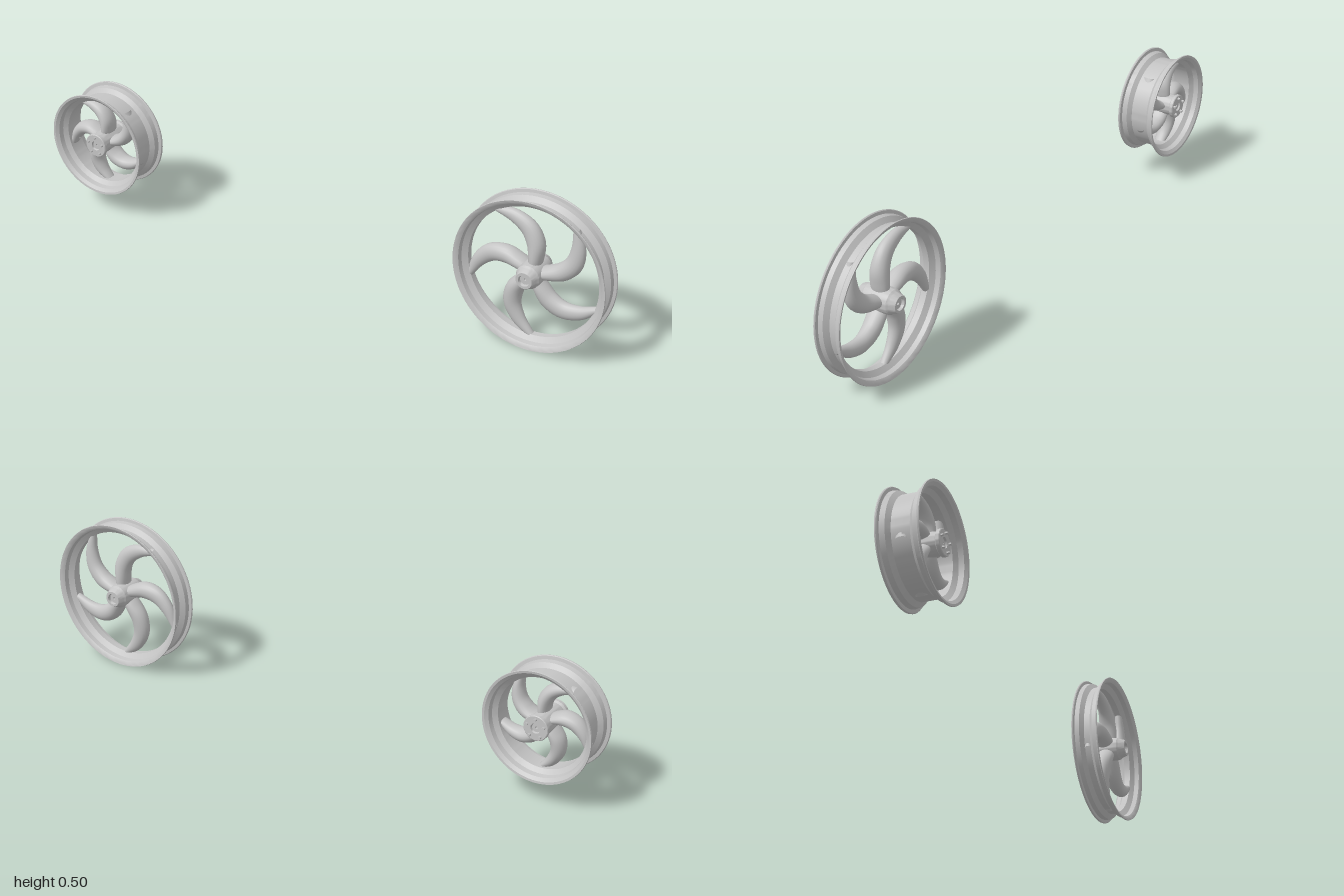
import * as THREE from 'three';
import { toCreasedNormals } from 'three/addons/utils/BufferGeometryUtils.js';

const metal = new THREE.MeshStandardMaterial({ color: 0xc4c4c4 });
metal.name = 'brushed metal';

function add(parent, name, geometry) {
  const mesh = new THREE.Mesh(geometry, metal);
  mesh.name = name;
  parent.add(mesh);
  return mesh;
}

// Lathe about z from half profiles [radius, z], mirrored to the other side.
// outer runs from the middle plane to the edge, inner from the edge back to the middle.
function latheZ(outer, inner, segments) {
  const flip = (list) => list.map(([r, z]) => [r, -z]).reverse();
  const loop = [...flip(outer), ...outer, ...inner, ...flip(inner)];
  loop.push(loop[0]);
  const g = new THREE.LatheGeometry(loop.map(([r, z]) => new THREE.Vector2(r, z)), segments);
  return toCreasedNormals(g.rotateX(Math.PI / 2), 0.5);
}

// Curved spoke swept from elliptical sections: [radius, angle in degrees, width, depth]
function spokeGeometry(stations) {
  const path = new THREE.CatmullRomCurve3(stations.map(([r, a]) => {
    const t = THREE.MathUtils.degToRad(a);
    return new THREE.Vector3(r * Math.cos(t), r * Math.sin(t), 0);
  }));
  const sizes = new THREE.CatmullRomCurve3(stations.map(([, , w, d]) => new THREE.Vector3(w, d, 0)));
  const steps = 24, sides = 20, pos = [], index = [];
  for (let i = 0; i <= steps; i++) {
    const c = path.getPoint(i / steps), t = path.getTangent(i / steps), s = sizes.getPoint(i / steps);
    for (let j = 0; j < sides; j++) {
      const a = (j / sides) * Math.PI * 2;
      const u = Math.cos(a) * s.x / 2;
      pos.push(c.x - t.y * u, c.y + t.x * u, Math.sin(a) * s.y / 2);
      if (i === steps) continue;
      const p = i * sides + j, q = i * sides + (j + 1) % sides;
      index.push(p, q, p + sides, q, q + sides, p + sides);
    }
  }
  const g = new THREE.BufferGeometry();
  g.setAttribute('position', new THREE.Float32BufferAttribute(pos, 3));
  g.setIndex(index);
  g.computeVertexNormals();
  return g;
}

function makeWheel(name, spec) {
  const wheel = new THREE.Group();
  wheel.name = name;
  add(wheel, 'rim', latheZ(spec.rimOuter, spec.rimInner, 96));
  add(wheel, 'hub', latheZ(spec.hubOuter, spec.hubInner, 40));

  // Five swirling spokes
  const spoke = spokeGeometry(spec.spoke);
  for (let k = 0; k < 5; k++) {
    add(wheel, 'spoke', spoke).rotation.z = THREE.MathUtils.degToRad(55 + 72 * k);
  }

  // Hub bolts on both sides
  if (spec.bolts) {
    const { ring, size, z } = spec.bolts;
    const bolt = toCreasedNormals(new THREE.CylinderGeometry(size, size, 0.014, 6).rotateX(Math.PI / 2), 0.4);
    for (const side of [-1, 1]) for (let k = 0; k < 5; k++) {
      const a = (k / 5) * Math.PI * 2 + 0.3;
      add(wheel, 'hubBolt', bolt).position.set(ring * Math.cos(a), ring * Math.sin(a), side * z);
    }
  }

  // Valve stem pointing inward from the rim
  const a = THREE.MathUtils.degToRad(194);
  const valve = add(wheel, 'valveStem', new THREE.CylinderGeometry(0.002, 0.003, 0.035, 10));
  valve.position.set(spec.valve * Math.cos(a), spec.valve * Math.sin(a), 0.006);
  valve.rotation.z = a + Math.PI / 2;
  return wheel;
}

export function createModel() {
  const model = new THREE.Group();
  model.name = 'wheelPair';

  // Tall narrow wheel
  const large = makeWheel('largeWheel', {
    rimOuter: [[0.22, 0.01], [0.235, 0.022], [0.237, 0.037], [0.246, 0.039], [0.248, 0.042], [0.247, 0.045]],
    rimInner: [[0.241, 0.044], [0.232, 0.037], [0.229, 0.022], [0.213, 0.01]],
    hubOuter: [[0.04, 0.02], [0.038, 0.042], [0.033, 0.048], [0.028, 0.064], [0.026, 0.067]],
    hubInner: [[0.018, 0.067], [0.016, 0.058], [0.004, 0.058]],
    spoke: [[0.02, -46, 0.036, 0.06], [0.055, -42, 0.046, 0.062], [0.096, -38, 0.056, 0.056],
      [0.14, -28, 0.056, 0.046], [0.18, -14, 0.044, 0.036], [0.219, 0, 0.02, 0.024]],
    valve: 0.2,
  });
  large.position.set(0.752, 0.248, -0.001);
  model.add(large);

  // Small wide wheel
  const small = makeWheel('smallWheel', {
    rimOuter: [[0.15, 0.028], [0.163, 0.04], [0.166, 0.056], [0.176, 0.058], [0.178, 0.061], [0.177, 0.065]],
    rimInner: [[0.17, 0.064], [0.16, 0.056], [0.157, 0.04], [0.144, 0.028]],
    hubOuter: [[0.036, 0.03], [0.034, 0.05], [0.04, 0.054], [0.04, 0.064], [0.038, 0.066]],
    hubInner: [[0.016, 0.066], [0.014, 0.06], [0.004, 0.06]],
    spoke: [[0.02, -50, 0.03, 0.07], [0.045, -45, 0.036, 0.07], [0.07, -39, 0.044, 0.066],
      [0.098, -28, 0.044, 0.058], [0.124, -14, 0.036, 0.048], [0.149, 0, 0.018, 0.036]],
    bolts: { ring: 0.029, size: 0.0045, z: 0.067 },
    valve: 0.134,
  });
  small.position.set(-0.822, 0.246, -0.001);
  model.add(small);

  return model;
}
